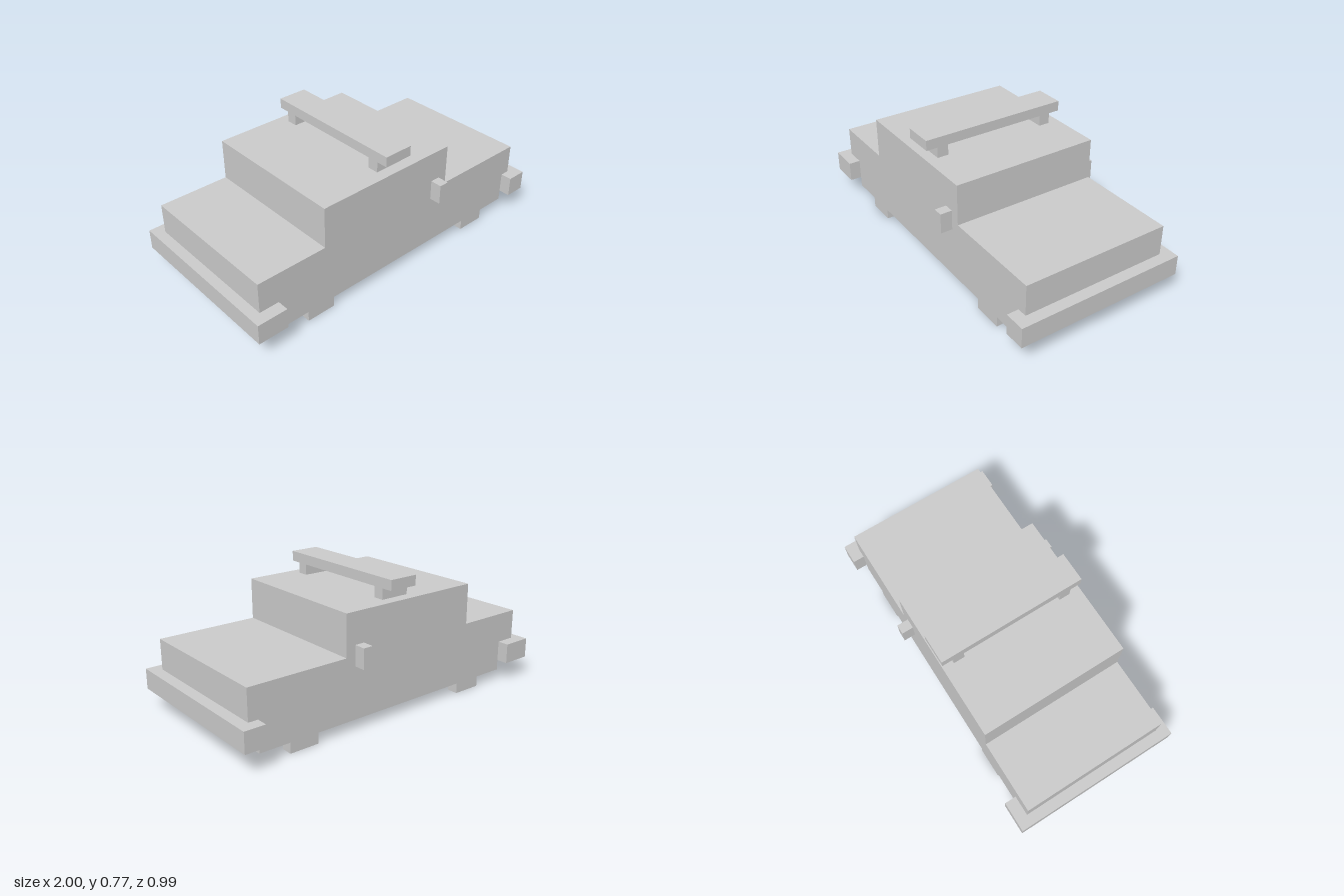
import * as THREE from 'three';

export function createModel() {
  const car = new THREE.Group();
  car.name = 'blockCar';
  const material = new THREE.MeshStandardMaterial({ color: 0xcccccc, flatShading: true });

  // Box given by its limits on each axis
  function block(name, [x0, x1], [y0, y1], [z0, z1]) {
    const mesh = new THREE.Mesh(new THREE.BoxGeometry(x1 - x0, y1 - y0, z1 - z0), material);
    mesh.position.set((x0 + x1) / 2, (y0 + y1) / 2, (z0 + z1) / 2);
    mesh.name = name;
    car.add(mesh);
  }

  // The same box on both sides of the car
  function pair(name, x, y, [z0, z1]) {
    block(name + 'Front', x, y, [z0, z1]);
    block(name + 'Back', x, y, [-z1, -z0]);
  }

  // Body: stepped side profile with hood, cabin and trunk
  const halfWidth = 0.43;
  const profile = new THREE.Shape([
    [-0.825, 0.06], [0.88, 0.06], [0.88, 0.18], [0.935, 0.18], [0.935, 0.412],
    [0.348, 0.412], [0.348, 0.647], [-0.527, 0.647], [-0.527, 0.412],
    [-0.94, 0.412], [-0.94, 0.18], [-0.825, 0.18],
  ].map(([x, y]) => new THREE.Vector2(x, y)));
  const bodyGeometry = new THREE.ExtrudeGeometry(profile, { depth: halfWidth * 2, bevelEnabled: false });
  bodyGeometry.translate(0, 0, -halfWidth);
  const body = new THREE.Mesh(bodyGeometry, material);
  body.name = 'body';
  car.add(body);

  // Bumpers, wider than the body
  block('noseBumper', [0.88, 1], [0.12, 0.237], [-0.497, 0.497]);
  block('tailBumper', [-1, -0.825], [0.12, 0.237], [-0.497, 0.497]);

  // Wheel blocks under the corners
  pair('noseWheel', [0.53, 0.702], [0, 0.06], [0.365, halfWidth]);
  pair('tailWheel', [-0.645, -0.473], [0, 0.06], [0.365, halfWidth]);

  // Side mirrors
  pair('mirror', [0.235, 0.292], [0.356, 0.471], [halfWidth, 0.497]);

  // Roof bar on two posts
  const barX = [-0.117, 0.055];
  pair('roofBarPost', barX, [0.647, 0.708], [0.3, 0.365]);
  block('roofBar', barX, [0.708, 0.766], [-halfWidth, halfWidth]);

  return car;
}
